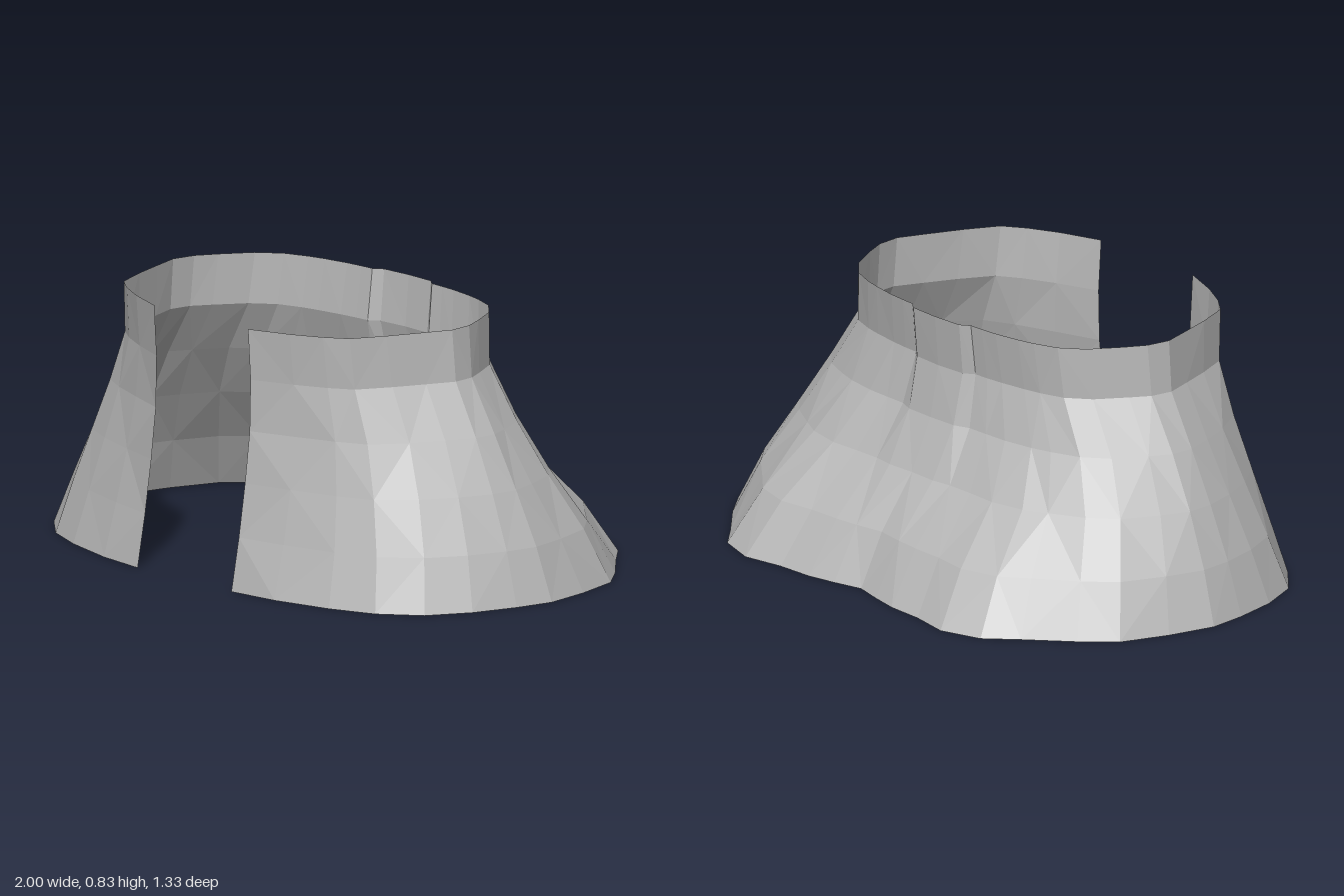
import * as THREE from 'three';

// Half outlines [x, z], running from the front opening round the side to the centre back
const hem = [[0.22, 0.66], [0.4, 0.64], [0.6, 0.59], [0.75, 0.53], [0.87, 0.43], [0.94, 0.29],
  [0.98, 0.14], [1, 0.01], [0.97, -0.15], [0.92, -0.31], [0.83, -0.41], [0.7, -0.53],
  [0.61, -0.62], [0.47, -0.665], [0.33, -0.64], [0.2, -0.635], [0.1, -0.615], [0, -0.59]];
const waist = [[0.22, 0.59], [0.36, 0.54], [0.46, 0.49], [0.53, 0.44], [0.58, 0.33], [0.62, 0.22],
  [0.655, 0.12], [0.645, 0.04], [0.61, -0.03], [0.55, -0.13], [0.48, -0.19], [0.4, -0.22],
  [0.34, -0.235], [0.25, -0.25], [0.19, -0.255], [0.14, -0.257], [0.11, -0.28], [0, -0.285]];

// Each row: height, then flare (0 waist, 1 hem) for the width, front depth and back depth
const rows = [
  [0, 1, 1, 1],
  [0.17, 0.83, 0.55, 0.72],
  [0.34, 0.6, 0.18, 0.31],
  [0.505, 0.34, -0.1, 0.06],
  [0.67, 0.045, -0.15, -0.045],
  [0.835, 0, 0, 0],
];

function rowPoint(i, [y, wide, front, back], side) {
  const t = THREE.MathUtils.smoothstep(i, 2, 12);
  const depth = THREE.MathUtils.lerp(front, back, t);
  const x = THREE.MathUtils.lerp(waist[i][0], hem[i][0], wide);
  const z = THREE.MathUtils.lerp(waist[i][1], hem[i][1], depth);
  return [side * x, y, z];
}

// Skin between neighbouring rows, mirrored by side
function panel(name, levels, side, material) {
  const n = hem.length;
  const positions = levels.flatMap((row) => hem.flatMap((_, i) => rowPoint(i, row, side)));
  const index = [];
  for (let r = 0; r < levels.length - 1; r++) {
    for (let i = 0; i < n - 1; i++) {
      const a = r * n + i, b = a + 1, c = b + n, d = a + n;
      const tris = (r + i) % 2 ? [[a, b, c], [a, c, d]] : [[a, b, d], [b, c, d]];
      for (const [p, q, s] of tris) index.push(...(side > 0 ? [p, q, s] : [p, s, q]));
    }
  }
  const geometry = new THREE.BufferGeometry();
  geometry.setAttribute('position', new THREE.Float32BufferAttribute(positions, 3));
  geometry.setIndex(index);
  const flat = geometry.toNonIndexed();
  flat.computeVertexNormals();
  const mesh = new THREE.Mesh(flat, material);
  mesh.name = name;
  return mesh;
}

export function createModel() {
  const group = new THREE.Group();
  group.name = 'openSkirt';
  const cloth = new THREE.MeshStandardMaterial({
    color: 0xb8b8b8, side: THREE.DoubleSide, flatShading: true,
  });
  cloth.name = 'grey cloth';

  for (const [label, side] of [['left', 1], ['right', -1]]) {
    group.add(panel(label + 'SkirtPanel', rows.slice(0, 5), side, cloth)); // flared body
    group.add(panel(label + 'Waistband', rows.slice(4), side, cloth)); // upright band
  }
  return group;
}
